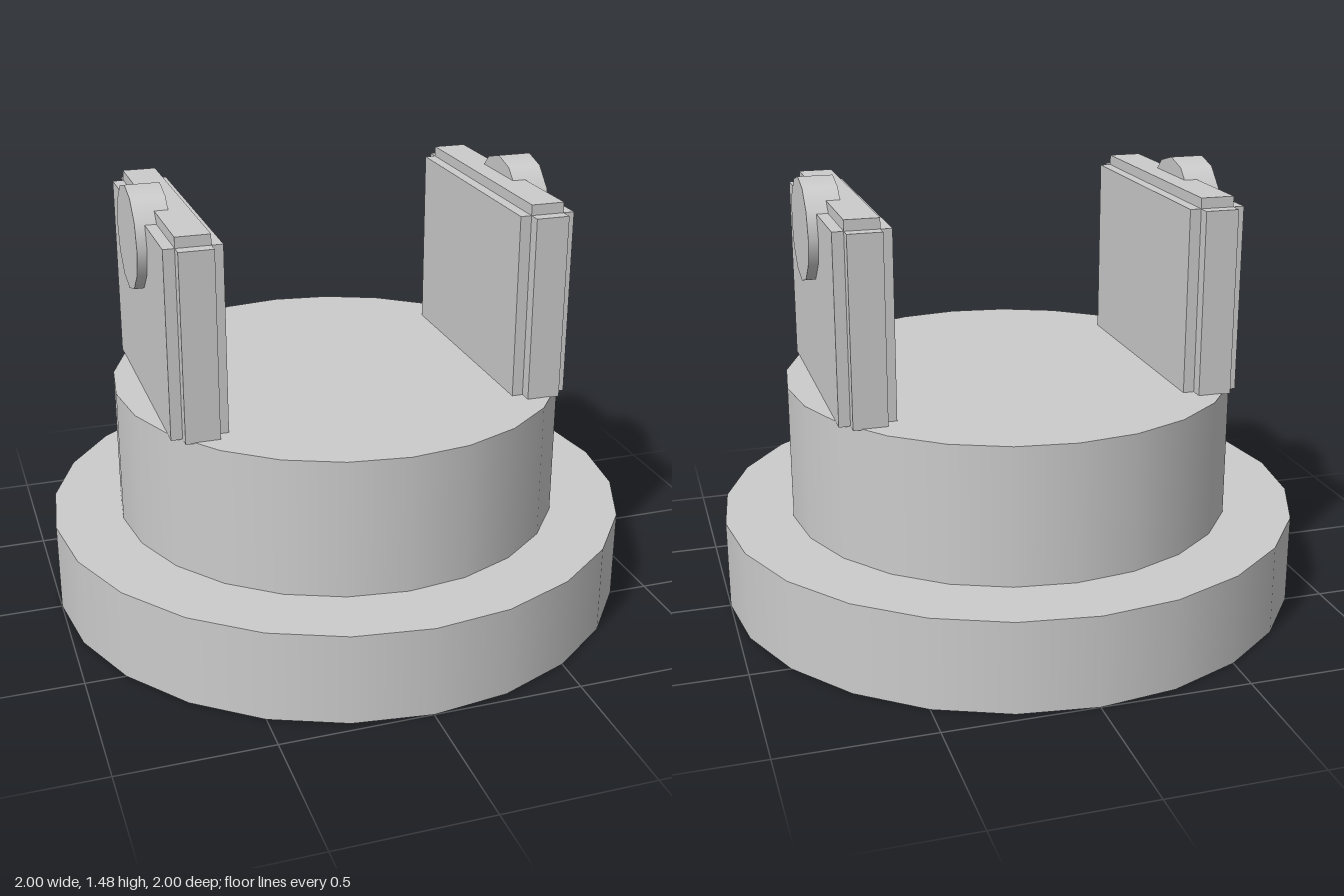
import * as THREE from 'three';

const material = new THREE.MeshStandardMaterial({ color: 0xcccccc });

function addMesh(parent, name, geometry, x, y, z) {
  const mesh = new THREE.Mesh(geometry, material);
  mesh.name = name;
  mesh.position.set(x, y, z);
  parent.add(mesh);
  return mesh;
}

// Upright drum standing between two heights
function addDrum(parent, name, radius, y0, y1) {
  addMesh(parent, name, new THREE.CylinderGeometry(radius, radius, y1 - y0, 24), 0, (y0 + y1) / 2, 0);
}

// Plate with stepped edges, made of three overlapping slabs, plus a pivot disc
function createBracket(side) {
  const bracket = new THREE.Group();
  bracket.name = side > 0 ? 'leftBracket' : 'rightBracket';
  const bottom = 0.77;
  const slabs = [
    ['plateFaces', 0.186, 1.39, 0.84],
    ['plateEnds', 0.112, 1.39, 0.926],
    ['plateTop', 0.112, 1.425, 0.84],
  ];
  for (const [name, width, top, depth] of slabs) {
    const height = top - bottom;
    addMesh(bracket, name, new THREE.BoxGeometry(width, height, depth), side * 0.578, bottom + height / 2, 0);
  }
  const disc = new THREE.CylinderGeometry(0.172, 0.172, 0.114, 12).rotateZ(Math.PI / 2);
  addMesh(bracket, 'pivotDisc', disc, side * 0.646, 1.312, 0);
  return bracket;
}

export function createModel() {
  const model = new THREE.Group();
  model.name = 'swivelMount';
  addDrum(model, 'base', 1, 0, 0.308);
  addDrum(model, 'turntable', 0.768, 0.308, 0.773);
  for (const side of [-1, 1]) model.add(createBracket(side));
  return model;
}
